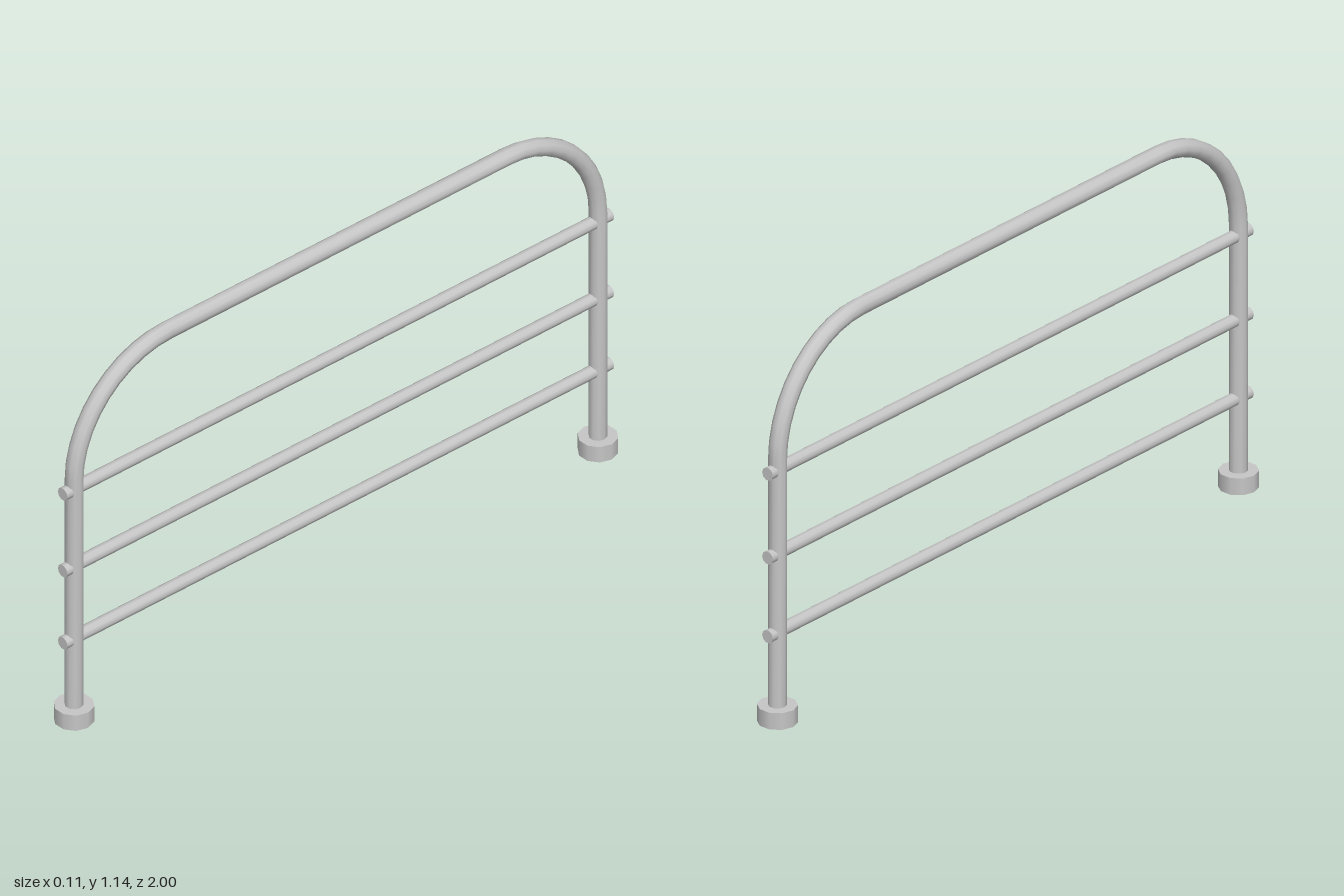
import * as THREE from 'three';

export function createModel() {
  const group = new THREE.Group();
  const steel = new THREE.MeshStandardMaterial({ color: 0xc6c6c6, side: THREE.DoubleSide });
  steel.name = 'light grey steel';

  const add = (geometry, name, x, y, z) => {
    const mesh = new THREE.Mesh(geometry, steel);
    mesh.name = name;
    mesh.position.set(x, y, z);
    group.add(mesh);
    return mesh;
  };

  const sides = 10;
  const postZ = 0.947, topY = 1.117, bend = 0.335, tubeR = 0.0258;
  const footR = 0.0557, footH = 0.05;
  const bendY = topY - bend, bendZ = postZ - bend;

  // Bent hoop: two posts, two quarter bends and the top rail, swept by rings
  const path = [[footH, postZ]];
  const steps = 10;
  for (let i = 0; i <= steps; i++) {
    const a = (i / steps) * Math.PI / 2;
    path.push([bendY + Math.sin(a) * bend, bendZ + Math.cos(a) * bend]);
  }
  for (let i = path.length - 1; i >= 0; i--) path.push([path[i][0], -path[i][1]]);

  const positions = [], indices = [];
  path.forEach(([y, z], i) => {
    const p = path[Math.max(i - 1, 0)], n = path[Math.min(i + 1, path.length - 1)];
    // Posts stay upright where they meet the bends
    let dy = n[0] - p[0], dz = n[1] - p[1];
    if (i === 1) { dy = 1; dz = 0; }
    if (i === path.length - 2) { dy = -1; dz = 0; }
    const len = Math.hypot(dy, dz);
    for (let j = 0; j < sides; j++) {
      const a = (j / sides) * Math.PI * 2;
      const out = Math.sin(a) * tubeR;
      positions.push(Math.cos(a) * tubeR, y - (dz / len) * out, z + (dy / len) * out);
      if (i < path.length - 1) {
        const k = i * sides + j, l = i * sides + (j + 1) % sides;
        indices.push(k, l, k + sides, l, l + sides, k + sides);
      }
    }
  });
  const hoop = new THREE.BufferGeometry();
  hoop.setAttribute('position', new THREE.Float32BufferAttribute(positions, 3));
  hoop.setIndex(indices);
  hoop.computeVertexNormals();
  add(hoop, 'bentHoop', 0, 0, 0);

  // Cross bars that run through both posts
  for (const y of [0.755, 0.504, 0.268]) {
    const bar = add(new THREE.CylinderGeometry(0.0193, 0.0193, 1.976, sides, 1, false, Math.PI / 2),
      'crossBar', 0, y, 0);
    bar.rotation.x = Math.PI / 2;
  }

  // Feet: collars with a closed top and an open underside
  for (const s of [1, -1]) {
    add(new THREE.CylinderGeometry(footR, footR, footH, sides, 1, true, Math.PI / 2),
      'footCollar', 0, footH / 2, s * postZ);
    const cap = add(new THREE.CircleGeometry(footR, sides), 'footTop', 0, footH, s * postZ);
    cap.rotation.x = -Math.PI / 2;
  }
  return group;
}
